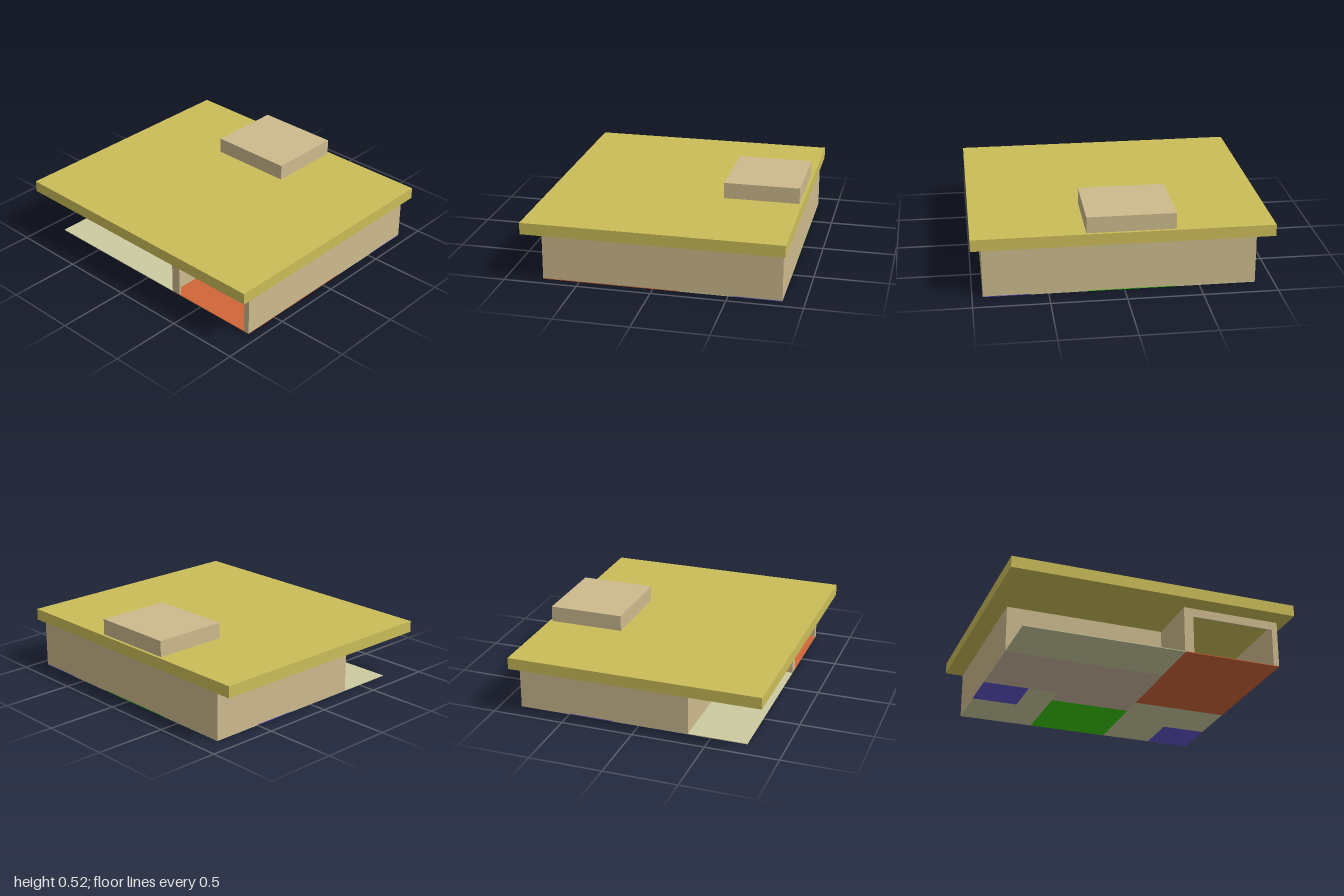
import * as THREE from 'three';

const WALL = 0xcdbb8e, ROOF = 0xcbbd58, OLIVE = 0xcccba0, BROWN = 0xccbba0;
const ORANGE = 0xd06638, GREEN = 0x3acb13, BLUE = 0x6157cb, FRAME = 0xcccccc;
const FLOOR_TOP = 0.005, WALL_TOP = 0.33, T = 0.012;

export function createModel() {
  const house = new THREE.Group();
  house.name = 'house';
  const materials = {};

  // box given by its extents on each axis
  function block(name, color, [x0, x1], [y0, y1], [z0, z1]) {
    materials[color] ??= new THREE.MeshStandardMaterial({ color });
    const mesh = new THREE.Mesh(new THREE.BoxGeometry(x1 - x0, y1 - y0, z1 - z0), materials[color]);
    mesh.position.set((x0 + x1) / 2, (y0 + y1) / 2, (z0 + z1) / 2);
    mesh.name = name;
    house.add(mesh);
  }

  // wall running along x or z, with an optional opening [start, end, height]
  function wall(name, axis, at, from, to, opening) {
    const across = [at - T / 2, at + T / 2];
    const piece = (a, b, y0) => axis === 'x'
      ? block(name, WALL, [a, b], [y0, WALL_TOP], across)
      : block(name, WALL, across, [y0, WALL_TOP], [a, b]);
    if (!opening) return piece(from, to, FLOOR_TOP);
    const [a, b, h] = opening;
    piece(from, a, FLOOR_TOP);
    piece(a, b, h);
    piece(b, to, FLOOR_TOP);
  }

  // floors, one colour per room
  const floor = (name, color, x, z) => block(name, color, x, [0, FLOOR_TOP], z);
  floor('patioFloor', OLIVE, [-0.875, 0.245], [0.345, 0.75]);
  floor('garageFloor', ORANGE, [0.245, 0.93], [-0.17, 0.75]);
  floor('livingRoomFloor', BROWN, [-0.875, 0.245], [-0.19, 0.345]);
  floor('hallFloor', BROWN, [-0.335, 0.245], [-0.335, -0.19]);
  floor('kitchenFloor', GREEN, [-0.335, 0.245], [-0.855, -0.335]);
  floor('leftBathroomFloor', BLUE, [-0.875, -0.55], [-0.5, -0.19]);
  floor('leftBedroomFloor', OLIVE, [-0.875, -0.335], [-0.855, -0.5]);
  floor('leftBedroomEntryFloor', OLIVE, [-0.55, -0.335], [-0.5, -0.19]);
  floor('rightBathroomFloor', BLUE, [0.615, 0.93], [-0.855, -0.53]);
  floor('rightBedroomFloor', OLIVE, [0.245, 0.615], [-0.855, -0.17]);
  floor('rightBedroomSideFloor', OLIVE, [0.615, 0.93], [-0.53, -0.17]);

  // outer walls
  const h = T / 2;
  wall('backWall', 'x', -0.855 + h, -0.875, 0.93);
  wall('leftSideWall', 'z', 0.93 - h, -0.855 + T, 0.75 - T);
  wall('rightSideWall', 'z', -0.875 + h, -0.855 + T, 0.345 - T);
  wall('frontWall', 'x', 0.345 - h, -0.875, 0.245 - h, [-0.195, -0.095, 0.187]);
  wall('garageFrontWall', 'x', 0.75 - h, 0.245 - h, 0.93, [0.305, 0.89, 0.27]);

  // inner walls
  wall('garageSideWall', 'z', 0.245, -0.17, 0.75 - T);
  wall('garageBackWall', 'x', -0.17 - h, 0.245 + h, 0.93 - T);
  wall('rightBedroomWall', 'z', 0.245, -0.335, -0.17 - T, [-0.31, -0.21, 0.19]);
  wall('kitchenLeftWall', 'z', 0.245, -0.855 + T, -0.335);
  wall('kitchenRightWall', 'z', -0.335, -0.855 + T, -0.335);
  wall('kitchenFrontWall', 'x', -0.335, -0.335 + h, 0.245 - h);
  wall('leftBedroomWall', 'z', -0.335, -0.335, -0.19);
  wall('livingRoomBackWall', 'x', -0.19, -0.875 + T, -0.335 - h, [-0.5, -0.4, 0.19]);
  wall('leftBathroomBackWall', 'x', -0.5, -0.875 + T, -0.55 - h);
  wall('leftBathroomSideWall', 'z', -0.55, -0.5 - h, -0.19 - h, [-0.4, -0.3, 0.19]);
  wall('rightBathroomFrontWall', 'x', -0.53, 0.615 + h, 0.93 - T);
  wall('rightBathroomSideWall', 'z', 0.615, -0.855 + T, -0.53 + h, [-0.7, -0.6, 0.19]);

  // front door frame with the leaf standing open inside
  const frameDepth = [0.325, 0.355];
  for (const x of [[-0.215, -0.19], [-0.098, -0.08]]) {
    block('doorJamb', FRAME, x, [FLOOR_TOP, 0.187], frameDepth);
  }
  block('doorHead', FRAME, [-0.215, -0.08], [0.187, 0.205], frameDepth);
  block('doorLeaf', FRAME, [-0.19, -0.168], [FLOOR_TOP, 0.185], [0.23, 0.33]);

  // flat roof slab and the raised block at the back
  block('roof', ROOF, [-1, 1], [0.335, 0.415], [-0.875, 0.875]);
  block('raisedRoof', WALL, [-0.34, 0.25], [0.33, 0.525], [-0.855, -0.335]);

  return house;
}
